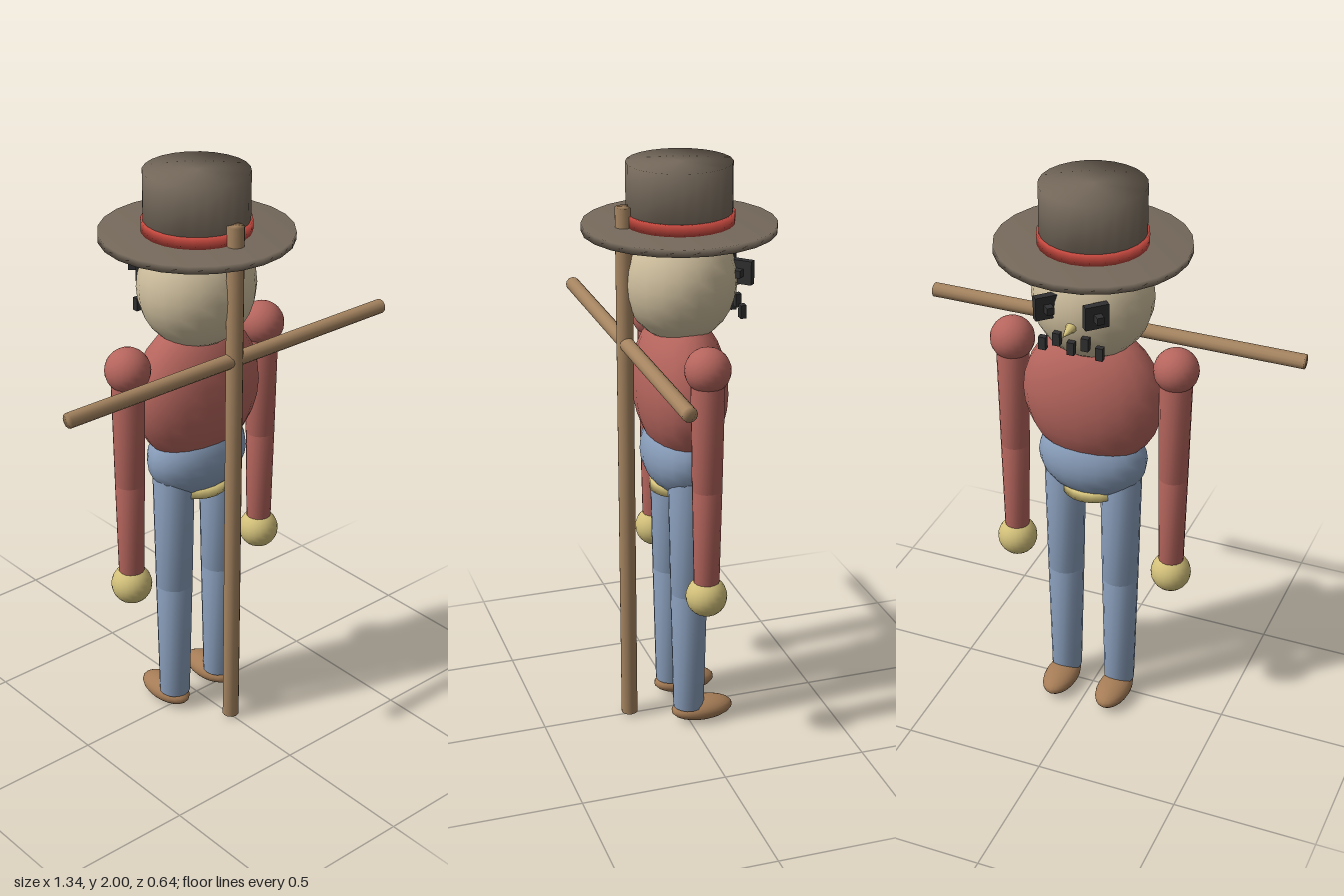
import * as THREE from 'three';
import { mergeVertices } from 'three/addons/utils/BufferGeometryUtils.js';

const mat = (name, color) => {
  const m = new THREE.MeshStandardMaterial({ color });
  m.name = name;
  return m;
};

// Cylinder whose caps share rounded normals with its side
function softCylinder(rTop, rBottom, height, sides) {
  const g = new THREE.CylinderGeometry(rTop, rBottom, height, sides);
  g.deleteAttribute('normal');
  g.deleteAttribute('uv');
  const merged = mergeVertices(g, 1e-4);
  merged.computeVertexNormals();
  return merged;
}

export function createModel() {
  const wood = mat('wood', 0xa58460);
  const shoe = mat('shoe leather', 0xa57c56);
  const shirt = mat('red shirt', 0xb5655d);
  const denim = mat('blue denim', 0x8a9fbc);
  const sack = mat('sackcloth', 0xcfbf9e);
  const straw = mat('straw', 0xd2c07a);
  const felt = mat('brown felt', 0x75695b);
  const ribbon = mat('red ribbon', 0xc4483e);
  const black = mat('black thread', 0x303032);

  const model = new THREE.Group();
  model.name = 'scarecrow';

  const add = (name, geo, material, x, y, z, parent = model) => {
    const m = new THREE.Mesh(geo, material);
    m.name = name;
    m.position.set(x, y, z);
    parent.add(m);
    return m;
  };
  const ellipsoid = (name, material, x, y, z, rx, ry, rz) =>
    add(name, new THREE.SphereGeometry(1, 20, 14), material, x, y, z).scale.set(rx, ry, rz);
  // Upright tapered cylinder between two heights
  const column = (name, material, x, z, y0, y1, r0, r1, sides = 16) =>
    add(name, softCylinder(r1, r0, y1 - y0, sides), material, x, (y0 + y1) / 2, z);

  // Wooden support behind the body
  column('post', wood, 0, 0.188, 0.01, 1.865, 0.029, 0.029, 12);
  add('crossbar', softCylinder(0.025, 0.025, 1.34, 12), wood, 0, 1.405, 0.186).rotation.z = Math.PI / 2;

  // Body
  ellipsoid('torso', shirt, 0, 1.24, 0, 0.246, 0.257, 0.152);
  ellipsoid('hips', denim, 0, 1.0, 0, 0.193, 0.148, 0.13);
  column('strawWaist', straw, 0, 0, 0.866, 0.9, 0.105, 0.105, 20);
  ellipsoid('head', sack, 0, 1.61, 0, 0.203, 0.21, 0.19);

  // Arms and legs
  for (const [side, s] of [['left', 1], ['right', -1]]) {
    const ax = s * 0.291, lx = s * 0.103;
    ellipsoid(side + 'Shoulder', shirt, ax, 1.39, 0, 0.076, 0.076, 0.076);
    column(side + 'UpperArm', shirt, ax, 0, 0.975, 1.4, 0.05, 0.057);
    column(side + 'Forearm', shirt, ax, 0, 0.62, 0.975, 0.043, 0.05);
    ellipsoid(side + 'Hand', straw, ax, 0.585, 0, 0.07, 0.07, 0.07);
    column(side + 'Thigh', denim, lx, 0, 0.51, 0.95, 0.064, 0.072);
    column(side + 'Shin', denim, lx, 0, 0.06, 0.51, 0.054, 0.064);
    ellipsoid(side + 'Foot', shoe, lx, 0.041, -0.05, 0.06, 0.041, 0.112);

    // Cross-stitched eye: a plate pierced by a peg
    const eye = new THREE.Group();
    eye.name = side + 'Eye';
    eye.position.set(s * 0.085, 1.64, -0.185);
    eye.rotation.y = Math.PI / 4;
    add('eyePlate', new THREE.BoxGeometry(0.08, 0.08, 0.025), black, 0, 0, 0, eye);
    add('eyePeg', new THREE.BoxGeometry(0.025, 0.025, 0.08), black, 0, 0, 0, eye);
    model.add(eye);
  }

  // Nose and zigzag mouth stitches
  add('nose', new THREE.ConeGeometry(0.022, 0.085, 10), straw, 0, 1.58, -0.212).rotation.x = -Math.PI / 2;
  for (let i = 0; i < 5; i++) {
    add('mouthStitch', new THREE.BoxGeometry(0.025, 0.045, 0.02), black,
      (i - 2) * 0.049, i % 2 ? 1.532 : 1.508, -0.185);
  }

  // Hat
  column('hatBrim', felt, 0, 0, 1.775, 1.8, 0.32, 0.32, 24);
  column('hatCrown', felt, 0, 0, 1.79, 2.0, 0.174, 0.174, 24);
  column('hatBand', ribbon, 0, 0, 1.8, 1.838, 0.181, 0.181, 24);

  return model;
}
